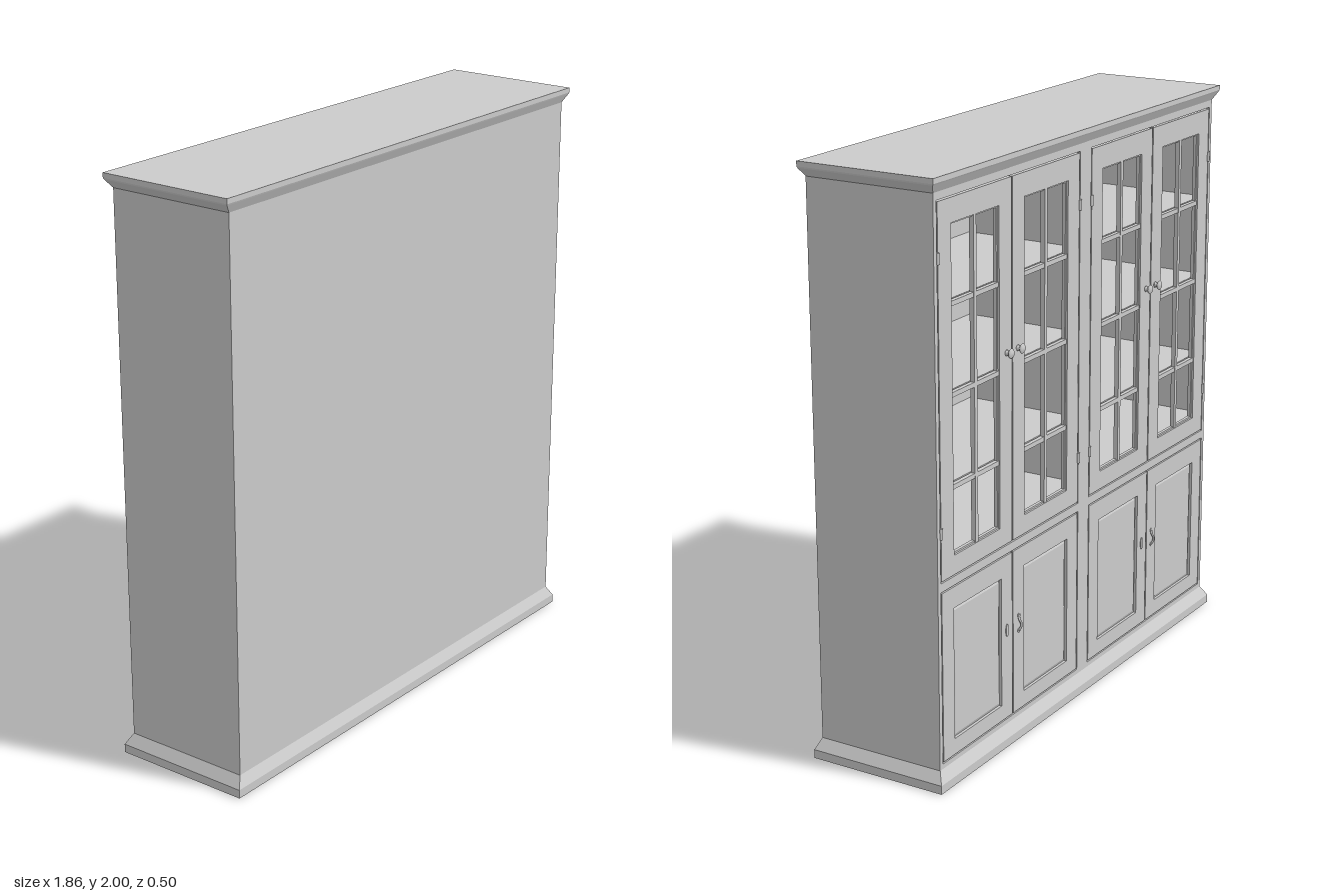
import * as THREE from 'three';

const grey = new THREE.MeshStandardMaterial({ color: 0xcccccc, flatShading: true, side: THREE.DoubleSide });
const smooth = new THREE.MeshStandardMaterial({ color: 0xcccccc });

const FRONT = -0.229; // door side of the cabinet
const BACK = 0.235;

function add(parent, name, geometry, material = grey) {
  const mesh = new THREE.Mesh(geometry, material);
  mesh.name = name;
  parent.add(mesh);
  return mesh;
}

// Box given by its limits on each axis
function box(parent, name, x0, x1, y0, y1, z0, z1) {
  const mesh = add(parent, name, new THREE.BoxGeometry(x1 - x0, y1 - y0, z1 - z0));
  mesh.position.set((x0 + x1) / 2, (y0 + y1) / 2, (z0 + z1) / 2);
  return mesh;
}

// Closed solid through rectangular rings [y, halfWidth, zMin, zMax], from bottom to top
function moulding(parent, name, rings) {
  const loops = rings.map(([y, w, z0, z1]) => [[-w, y, z1], [w, y, z1], [w, y, z0], [-w, y, z0]]);
  const pos = [];
  const quad = (a, b, c, d) => pos.push(...a, ...b, ...c, ...a, ...c, ...d);
  for (let i = 0; i < loops.length - 1; i++) {
    for (let k = 0; k < 4; k++) {
      const n = (k + 1) % 4;
      quad(loops[i][k], loops[i][n], loops[i + 1][n], loops[i + 1][k]);
    }
  }
  const [b, t] = [loops[0], loops[loops.length - 1]];
  quad(b[3], b[2], b[1], b[0]);
  quad(t[0], t[1], t[2], t[3]);
  const g = new THREE.BufferGeometry();
  g.setAttribute('position', new THREE.Float32BufferAttribute(pos, 3));
  g.computeVertexNormals();
  return add(parent, name, g);
}

// Flat board in the xy plane with rectangular holes; rectangles are [x0, x1, y0, y1]
function board(parent, name, outer, holes, z0, z1) {
  const trace = (path, [x0, x1, y0, y1]) => {
    path.moveTo(x0, y0);
    path.lineTo(x1, y0);
    path.lineTo(x1, y1);
    path.lineTo(x0, y1);
    path.closePath();
    return path;
  };
  const shape = trace(new THREE.Shape(), outer);
  shape.holes = holes.map((h) => trace(new THREE.Path(), h));
  const mesh = add(parent, name, new THREE.ExtrudeGeometry(shape, { depth: z1 - z0, bevelEnabled: false }));
  mesh.position.z = z0;
  return mesh;
}

// Upper door: frame with an open grid of two by four panes
function glazedDoor(parent, cx, x0, x1) {
  const door = new THREE.Group();
  door.name = 'glazedDoor';
  const [l, r, b, t] = [cx - 0.136, cx + 0.136, 0.775, 1.842];
  board(door, 'doorFrame', [x0, x1, 0.71, 1.92], [[l, r, b, t]], FRONT, -0.209);
  board(door, 'paneRebate', [l - 0.01, r + 0.01, b - 0.01, t + 0.01],
    [[l + 0.006, r - 0.006, b + 0.006, t - 0.006]], -0.222, -0.21);
  box(door, 'verticalGlazingBar', cx - 0.008, cx + 0.008, b, t, -0.227, -0.211);
  for (const y of [1.0, 1.3, 1.59]) {
    box(door, 'horizontalGlazingBar', l, r, y - 0.008, y + 0.008, -0.226, -0.211);
  }
  parent.add(door);
}

// Lower door: frame around a recessed panel with a sloped edge
function panelDoor(parent, cx, x0, x1) {
  const door = new THREE.Group();
  door.name = 'panelDoor';
  const [w, b, t] = [0.142, 0.145, 0.598];
  board(door, 'doorFrame', [x0, x1, 0.09, 0.67], [[cx - w, cx + w, b, t]], FRONT, -0.209);
  const cy = (b + t) / 2;
  const h = (t - b) / 2;
  const panel = moulding(door, 'doorPanel', [
    [0, w, -h, h],
    [0.01, w, -h, h],
    [0.015, w - 0.012, -h + 0.012, h - 0.012],
  ]);
  panel.rotation.x = -Math.PI / 2;
  panel.position.set(cx, cy, -0.209);
  parent.add(door);
}

// Turned knob pointing away from the door
function knob(parent, x, y) {
  const profile = [[0, 0], [0.011, 0], [0.008, 0.004], [0.007, 0.009], [0.014, 0.014],
    [0.017, 0.018], [0.013, 0.022], [0, 0.024]].map(([r, h]) => new THREE.Vector2(r, h));
  const mesh = add(parent, 'knob', new THREE.LatheGeometry(profile, 16), smooth);
  mesh.rotation.x = -Math.PI / 2;
  mesh.position.set(x, y, FRONT);
}

// Small key plate
function keyPlate(parent, x, y) {
  const plate = add(parent, 'keyPlate', new THREE.CylinderGeometry(0.008, 0.008, 0.004, 16), smooth);
  plate.rotation.x = Math.PI / 2;
  plate.scale.z = 2.8;
  plate.position.set(x, y, FRONT - 0.001);
}

// Bowed pull with a round foot at each end
function pullHandle(parent, x, y) {
  const handle = new THREE.Group();
  handle.name = 'pullHandle';
  const curve = new THREE.CatmullRomCurve3([
    new THREE.Vector3(0, 0.028, 0), new THREE.Vector3(0.005, 0.014, -0.007),
    new THREE.Vector3(-0.004, 0, -0.008), new THREE.Vector3(-0.005, -0.014, -0.007),
    new THREE.Vector3(0, -0.028, 0),
  ]);
  add(handle, 'bow', new THREE.TubeGeometry(curve, 20, 0.004, 8), smooth);
  for (const s of [-1, 1]) {
    const foot = add(handle, 'foot', new THREE.CylinderGeometry(0.008, 0.008, 0.005, 12), smooth);
    foot.rotation.x = Math.PI / 2;
    foot.position.y = s * 0.027;
  }
  handle.position.set(x, y, FRONT);
  parent.add(handle);
}

export function createModel() {
  const cabinet = new THREE.Group();
  cabinet.name = 'displayCabinet';

  // Plinth and cornice
  moulding(cabinet, 'plinth', [
    [0, 0.93, -0.25, 0.252], [0.03, 0.93, -0.25, 0.252], [0.068, 0.905, FRONT, BACK],
  ]);
  moulding(cabinet, 'cornice', [
    [1.95, 0.905, FRONT, BACK], [1.978, 0.928, -0.244, 0.248],
    [1.983, 0.93, -0.247, 0.25], [2, 0.93, -0.247, 0.25],
  ]);

  // Carcass
  box(cabinet, 'backPanel', -0.905, 0.905, 0.06, 1.955, 0.215, BACK);
  for (const s of [-1, 1]) {
    box(cabinet, 'sidePanel', s * 0.8975 - 0.0075, s * 0.8975 + 0.0075, 0.06, 1.955, FRONT, BACK);
  }
  box(cabinet, 'divider', -0.02, 0.02, 0.06, 1.955, -0.21, 0.22);
  for (const y of [0.765, 1.0, 1.3, 1.59]) {
    box(cabinet, 'shelf', -0.892, 0.892, y - 0.01, y + 0.008, -0.205, 0.218);
  }

  // Face frame around the four door bays
  const bays = [];
  for (const [a, b] of [[-0.888, -0.036], [0.036, 0.888]]) {
    bays.push([a, b, 0.085, 0.675], [a, b, 0.705, 1.925]);
  }
  board(cabinet, 'faceFrame', [-0.9, 0.9, 0.06, 1.955], bays, FRONT, -0.209);

  // Doors, hinges and fittings of the two halves
  for (const s of [-1, 1]) {
    for (const [cx, a, b] of [[0.25, 0.041, 0.459], [0.674, 0.465, 0.883]]) {
      const [x0, x1] = s > 0 ? [a, b] : [-b, -a];
      glazedDoor(cabinet, s * cx, x0, x1);
      panelDoor(cabinet, s * cx, x0, x1);
    }
    for (const x of [0.038, 0.885]) {
      for (const y of [0.87, 1.747]) {
        const hinge = add(cabinet, 'hinge', new THREE.CylinderGeometry(0.006, 0.006, 0.036, 12), smooth);
        hinge.position.set(s * x, y, FRONT - 0.001);
      }
    }
    for (const side of [-1, 1]) knob(cabinet, s * 0.462 + side * 0.034, 1.357);
    keyPlate(cabinet, s * 0.462 + 0.037, 0.405);
    pullHandle(cabinet, s * 0.462 - 0.037, 0.405);
  }
  return cabinet;
}
